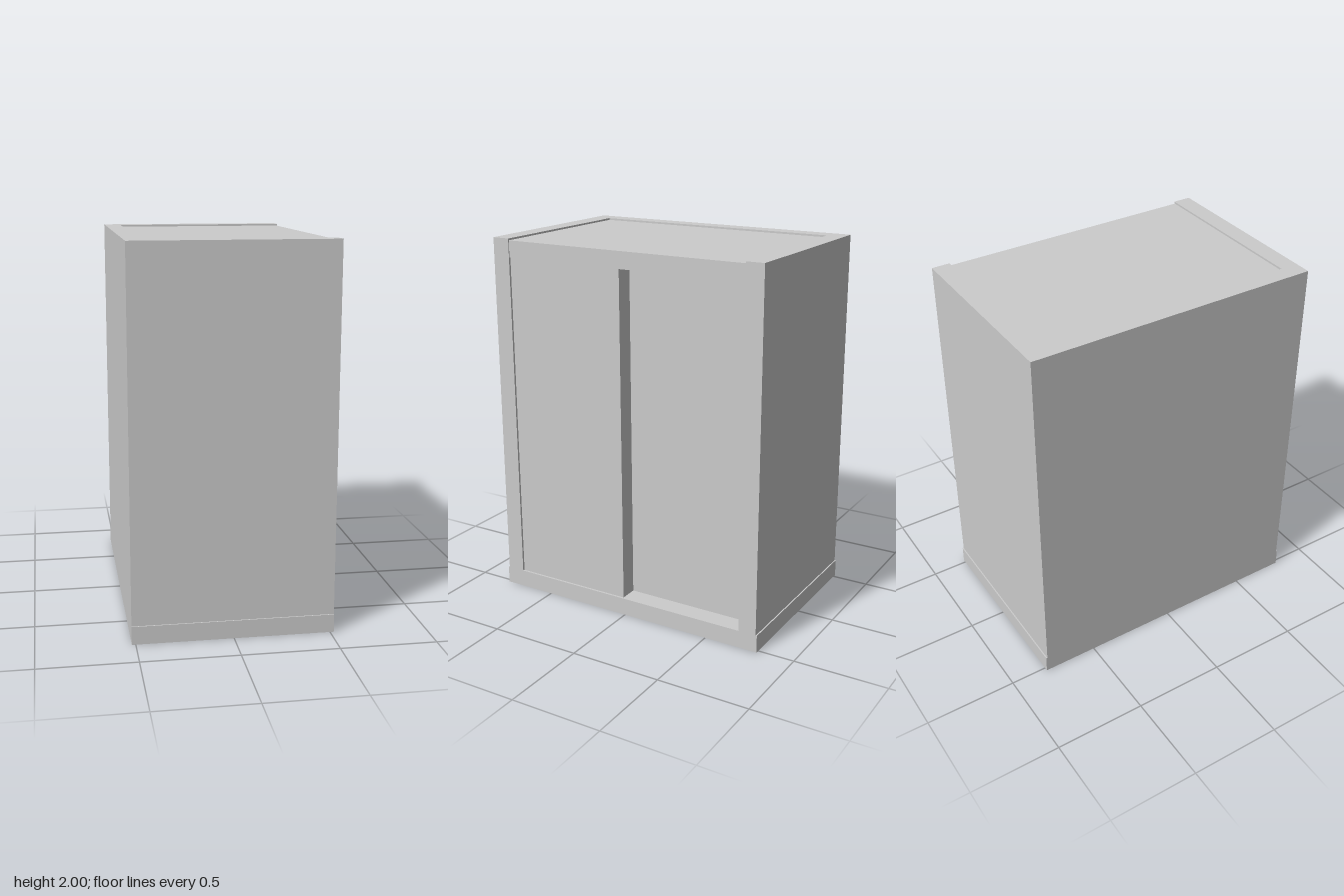
import * as THREE from 'three';

const material = new THREE.MeshStandardMaterial({ color: 0xcccccc, flatShading: true });

// Box given by its extents along each axis
function block(name, [x0, x1], [y0, y1], [z0, z1]) {
  const mesh = new THREE.Mesh(new THREE.BoxGeometry(x1 - x0, y1 - y0, z1 - z0), material);
  mesh.name = name;
  mesh.position.set((x0 + x1) / 2, (y0 + y1) / 2, (z0 + z1) / 2);
  return mesh;
}

export function createModel() {
  const group = new THREE.Group();
  group.name = 'slidingDoorCabinet';

  const W = 0.52, H = 2, D = 0.793;      // half width, height, half depth of the body
  const base = 0.095, inner = 0.695;     // plinth height, inside face of the end walls
  const doorBack = 0.41;                 // face of the rear sliding door

  // Plinth, slightly proud of both end walls
  group.add(block('plinth', [-W, W], [0, base], [-0.8, 0.8]));

  // End walls and closed side wall
  group.add(block('frontWall', [-W, W], [base, H], [inner, D]));
  group.add(block('backWall', [-W, W], [base, H], [-D, -inner]));
  group.add(block('sideWall', [-W, -0.43], [base, H], [-inner, inner]));

  // Sunken top, open toward the door side; its edge forms the door header
  group.add(block('topPanel', [-0.43, 0.515], [1.9, 1.99], [-inner, inner]));

  // Two sliding doors on parallel tracks
  group.add(block('rearDoor', [0.32, doorBack], [base, 1.9], [-inner, inner]));
  group.add(block('outerDoor', [doorBack, 0.508], [base, 1.9], [0.015, inner]));

  return group;
}
